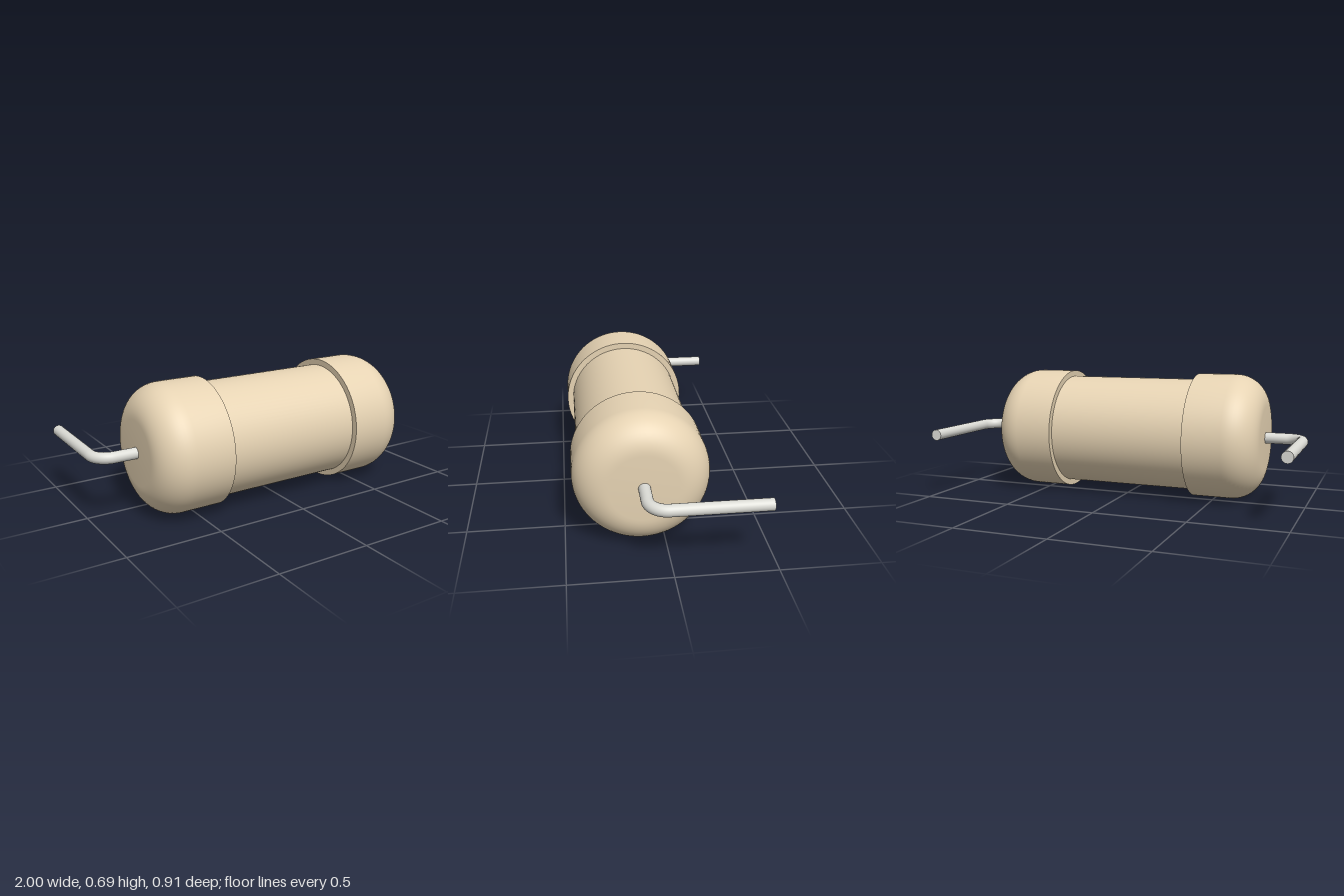
import * as THREE from 'three';
import { toCreasedNormals } from 'three/addons/utils/BufferGeometryUtils.js';

const AXIS_Y = 0.343, AXIS_Z = 0.114;   // centre line of the body
const CAP_R = 0.343, CORE_R = 0.31, FILLET = 0.171;
const CAP_IN = 0.384, CAP_OUT = 0.763;
const WIRE_R = 0.03, WIRE_X = 0.97, WIRE_END = -0.457, BEND = 0.09;

export function createModel() {
  const model = new THREE.Group();
  const ceramic = new THREE.MeshStandardMaterial({ color: 0xe6d3b3 });
  const metal = new THREE.MeshStandardMaterial({ color: 0xdcdcd6 });

  const add = (name, geometry, material) => {
    const mesh = new THREE.Mesh(geometry, material);
    mesh.name = name;
    model.add(mesh);
    return mesh;
  };

  // Narrow middle of the body
  const core = new THREE.CylinderGeometry(CORE_R, CORE_R, CAP_IN * 2, 96, 1, true);
  core.rotateZ(Math.PI / 2).translate(0, AXIS_Y, AXIS_Z);
  add('bodyCore', core, ceramic);

  // Wider end cap: inner step, straight wall, rounded shoulder, flat end
  const profile = [new THREE.Vector2(CORE_R - 0.01, CAP_IN), new THREE.Vector2(CAP_R, CAP_IN)];
  for (let i = 0; i <= 14; i++) {
    const a = (i / 14) * Math.PI / 2;
    profile.push(new THREE.Vector2(
      CAP_R - FILLET + FILLET * Math.cos(a),
      CAP_OUT - FILLET + FILLET * Math.sin(a)));
  }
  profile.push(new THREE.Vector2(0, CAP_OUT));

  for (const side of [1, -1]) {
    const label = side > 0 ? 'left' : 'right';

    const cap = new THREE.LatheGeometry(profile, 96);
    cap.rotateZ(-side * Math.PI / 2).translate(0, AXIS_Y, AXIS_Z);
    add(label + 'EndCap', toCreasedNormals(cap, Math.PI / 5), ceramic);

    // Lead wire: out along x, round the bend, then straight back
    const p = (x, z) => new THREE.Vector3(side * x, AXIS_Y + 0.001, z);
    const k = BEND * (1 - 0.5523);
    const path = new THREE.CurvePath();
    path.add(new THREE.LineCurve3(p(CAP_OUT - 0.02, AXIS_Z), p(WIRE_X - BEND, AXIS_Z)));
    path.add(new THREE.CubicBezierCurve3(
      p(WIRE_X - BEND, AXIS_Z), p(WIRE_X - k, AXIS_Z),
      p(WIRE_X, AXIS_Z - k), p(WIRE_X, AXIS_Z - BEND)));
    path.add(new THREE.LineCurve3(p(WIRE_X, AXIS_Z - BEND), p(WIRE_X, WIRE_END)));
    add(label + 'LeadWire', new THREE.TubeGeometry(path, 80, WIRE_R, 32), metal);

    // Cut end of the wire, facing back
    const tip = new THREE.CircleGeometry(WIRE_R, 32).rotateY(Math.PI);
    add(label + 'WireTip', tip, metal).position.copy(p(WIRE_X, WIRE_END));
  }
  return model;
}
